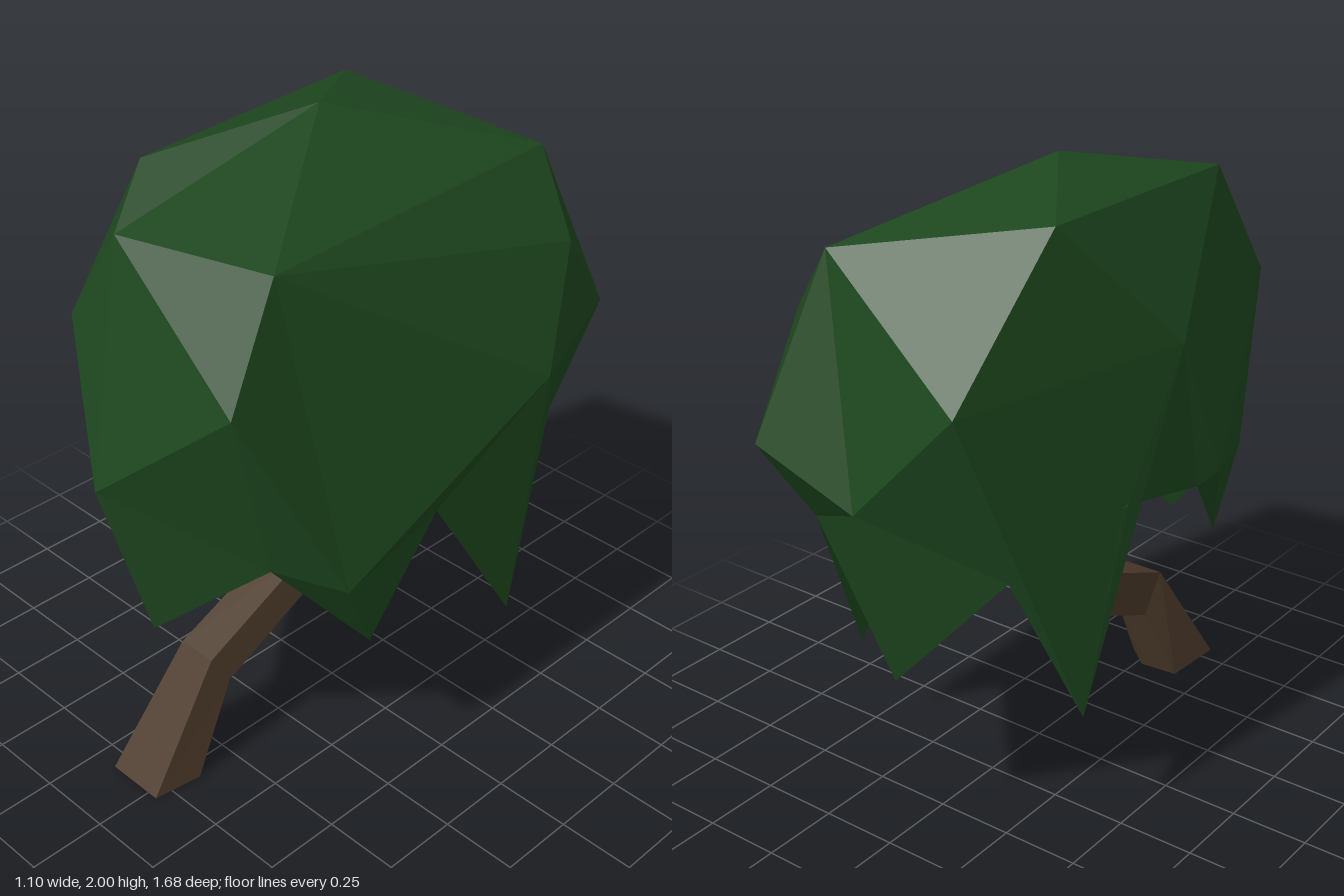
import * as THREE from 'three';

const leaf = new THREE.MeshStandardMaterial({ color: 0x1d461e, flatShading: true, side: THREE.DoubleSide });
leaf.name = 'leaf green';
const bark = new THREE.MeshStandardMaterial({ color: 0x4d3a2a, flatShading: true });
bark.name = 'bark brown';

// Zips two closed loops: each 'u' steps along the upper loop, each 'd' along the lower one.
function stitch(upper, lower, steps) {
  const tris = [];
  let i = 0, j = 0;
  const U = k => upper[k % upper.length], L = k => lower[k % lower.length];
  for (const s of steps) {
    if (s === 'u') tris.push([U(i), L(j), U(++i)]);
    else tris.push([U(i), L(j), L(++j)]);
  }
  return tris;
}

// Fan from a tip to a closed loop.
const fan = (tip, loop) => loop.map((p, i) => [tip, p, loop[(i + 1) % loop.length]]);
const flip = tris => tris.map(([a, b, c]) => [a, c, b]);

function facetMesh(name, tris, material) {
  const g = new THREE.BufferGeometry();
  g.setAttribute('position', new THREE.Float32BufferAttribute(tris.flat(2), 3));
  g.computeVertexNormals();
  const m = new THREE.Mesh(g, material);
  m.name = name;
  return m;
}

// Uneven five-sided wood section: sideways and upper/lower factors
const section = [[-0.95, 1], [0.8, 1], [1, -0.4], [0.3, -1], [-0.85, -0.9]];

// Each station is [x, y, z, half width, half depth, tilt of the section in degrees].
function limb(name, stations) {
  const rings = stations.map(([x, y, z, w, d, tilt]) => {
    const t = THREE.MathUtils.degToRad(tilt);
    return section.map(([a, b]) => [x + a * w, y + b * d * Math.sin(t), z + b * d * Math.cos(t)]);
  });
  const tris = [];
  for (let k = 0; k + 1 < rings.length; k++) {
    tris.push(...stitch(rings[k + 1], rings[k], 'ud'.repeat(section.length)));
  }
  const last = stations.length - 1;
  tris.push(...flip(fan(stations[0].slice(0, 3), rings[0])));
  tris.push(...fan(stations[last].slice(0, 3), rings[last]));
  return facetMesh(name, tris, bark);
}

export function createModel() {
  const tree = new THREE.Group();
  tree.name = 'droopingTree';

  // Canopy sections, each running front-left, front, +x side, back, -x side
  const apex = [-0.12, 2, -0.07];
  const shoulder = [
    [-0.36, 1.9, 0.4], [-0.23, 1.78, 0.61], [0.3, 1.81, 0.51],
    [0.23, 1.8, -0.66], [-0.39, 1.92, -0.45],
  ];
  const belly = [
    [-0.36, 1.51, 0.68], [-0.1, 1.1, 0.84], [0.375, 1.5, 0.74], [0.51, 0.86, 0.44],
    [0.55, 1.25, -0.36], [0.42, 1.57, -0.585], [0.36, 1.25, -0.845], [0, 1.13, -0.845],
    [-0.33, 1.48, -0.81], [-0.55, 1.52, -0.06], [-0.55, 1.05, 0.16],
  ];
  const cheek = belly[5];
  // Hem of notches and hanging tips
  const hem = [
    [-0.36, 0.94, 0.6], [-0.04, 0.575, 0.71],
    [0.36, 0.94, 0.6], [0.45, 0.57, 0.29],
    [0.45, 0.9, 0.01], [0.46, 0.35, -0.34],
    [0.36, 0.94, -0.62], [-0.04, 0.575, -0.74],
    [-0.36, 0.94, -0.62], [-0.46, 0.44, -0.4],
    [-0.5, 1.08, -0.25], [-0.5, 1.0, 0.12], [-0.43, 0.75, 0.34],
  ];
  tree.add(facetMesh('canopy', [
    ...fan(apex, shoulder),
    ...stitch(shoulder, belly, 'uddudddudddududd'),
    [belly[4], belly[6], cheek],
    ...stitch(belly.filter(p => p !== cheek), hem, 'udduuddudduuddududdudd' + 'u'),
  ], leaf));

  // Inner faces of the hanging strands and the hollow underside
  const isTip = p => p[1] < 0.8;
  const lining = flip(fan([-0.03, 1.25, 0], hem.filter(p => !isTip(p))));
  hem.forEach((tip, i) => {
    if (!isTip(tip)) return;
    const a = hem[i - 1], b = hem[(i + 1) % hem.length];
    if (i === 7) {
      // the back strand is thicker
      const inner = [-0.04, 0.63, -0.65];
      lining.push([a, b, inner], [a, inner, tip], [inner, b, tip]);
    } else lining.push([a, b, tip]);
  });
  tree.add(facetMesh('canopyLining', lining, leaf));

  // Leaning trunk that forks under the canopy
  tree.add(limb('trunk', [
    [-0.055, 0, 0.693, 0.115, 0.115, 0],
    [-0.028, 0.33, 0.515, 0.077, 0.082, 60],
    [-0.045, 0.55, 0, 0.07, 0.092, 32],
    [-0.05, 0.675, -0.12, 0.07, 0.07, 50],
    [-0.02, 1.2, -0.36, 0.04, 0.04, 20],
  ]));
  tree.add(limb('forkBranch', [
    [-0.045, 0.655, 0, 0.068, 0.1, -39],
    [-0.06, 0.82, 0.085, 0.052, 0.06, -42],
    [-0.08, 1.2, 0.22, 0.03, 0.03, -25],
  ]));
  return tree;
}
